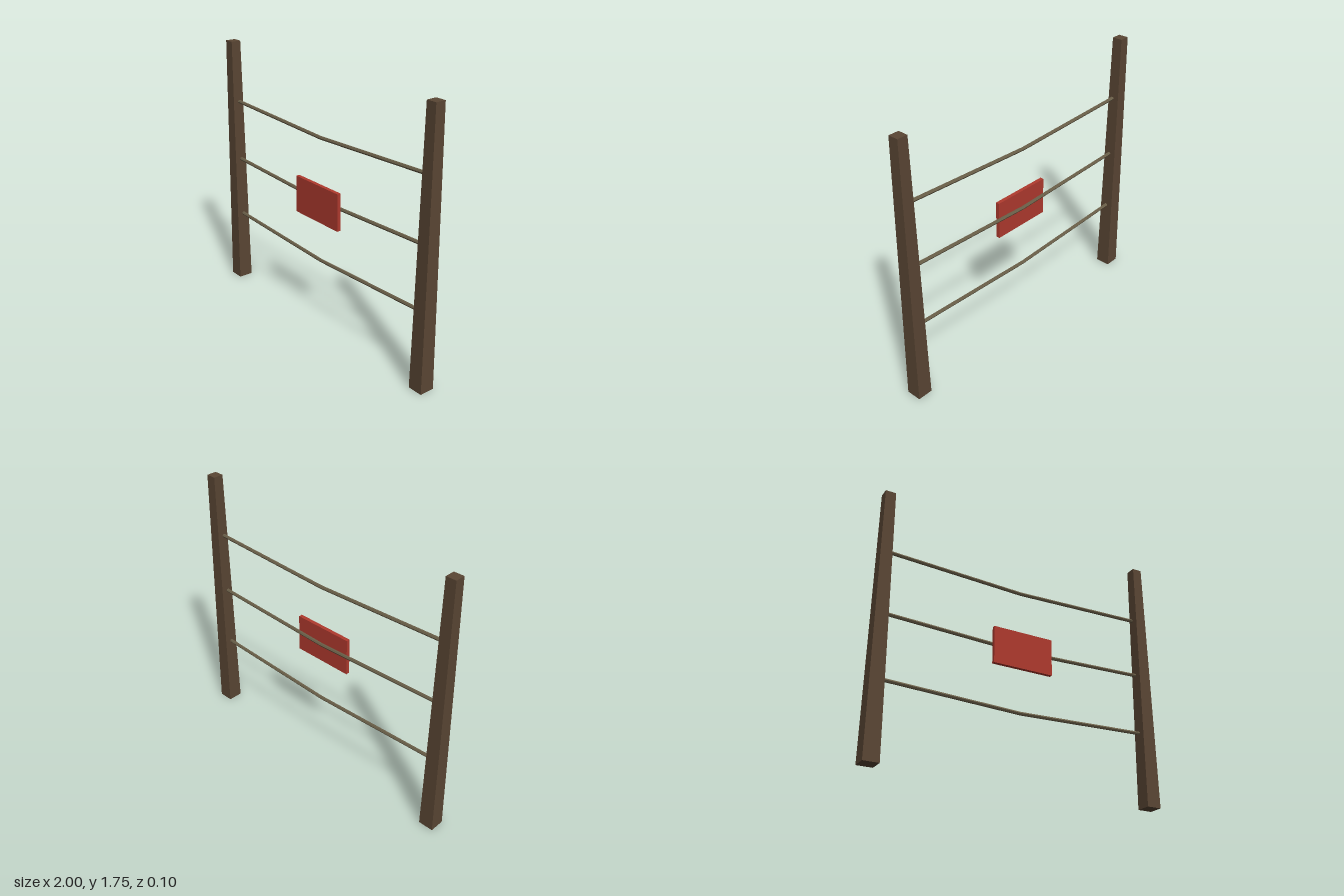
import * as THREE from 'three';

const material = (color) => new THREE.MeshStandardMaterial({ color, flatShading: true });

// Square post, narrower at the top
function taperedPost(base, top, height) {
  const geometry = new THREE.CylinderGeometry(top / Math.SQRT2, base / Math.SQRT2, height, 4);
  return geometry.rotateY(Math.PI / 4).translate(0, height / 2, 0);
}

// Straight rod between two points
function rod(a, b, radius, mat) {
  const dir = b.clone().sub(a);
  const mesh = new THREE.Mesh(new THREE.CylinderGeometry(radius, radius, dir.length(), 6), mat);
  mesh.position.copy(a).add(b).multiplyScalar(0.5);
  mesh.quaternion.setFromUnitVectors(new THREE.Vector3(0, 1, 0), dir.normalize());
  return mesh;
}

export function createModel() {
  const model = new THREE.Group();
  model.name = 'wireFence';
  const wood = material(0x5a4634);
  const wireMaterial = material(0x6b6049);
  const red = material(0xb03a2e);

  // Posts
  const postGeometry = taperedPost(0.1, 0.068, 1.75);
  for (const side of [-1, 1]) {
    const post = new THREE.Mesh(postGeometry, wood);
    post.name = side > 0 ? 'leftPost' : 'rightPost';
    post.position.x = side * 0.95;
    model.add(post);
  }

  // Wires, each sagging to the middle
  ['lowerWire', 'middleWire', 'upperWire'].forEach((name, i) => {
    const y = 0.503 + i * 0.417;
    const wire = new THREE.Group();
    wire.name = name;
    const middle = new THREE.Vector3(0, y - 0.033, 0);
    for (const side of [-1, 1]) {
      const half = rod(new THREE.Vector3(side * 0.902, y, 0), middle, 0.0115, wireMaterial);
      half.name = side > 0 ? 'leftHalf' : 'rightHalf';
      wire.add(half);
    }
    model.add(wire);
  });

  // Warning plate on the front of the middle wire
  const plate = new THREE.Mesh(new THREE.BoxGeometry(0.416, 0.248, 0.025), red);
  plate.name = 'signPlate';
  plate.position.set(0, 0.88, 0.0225);
  model.add(plate);

  return model;
}
